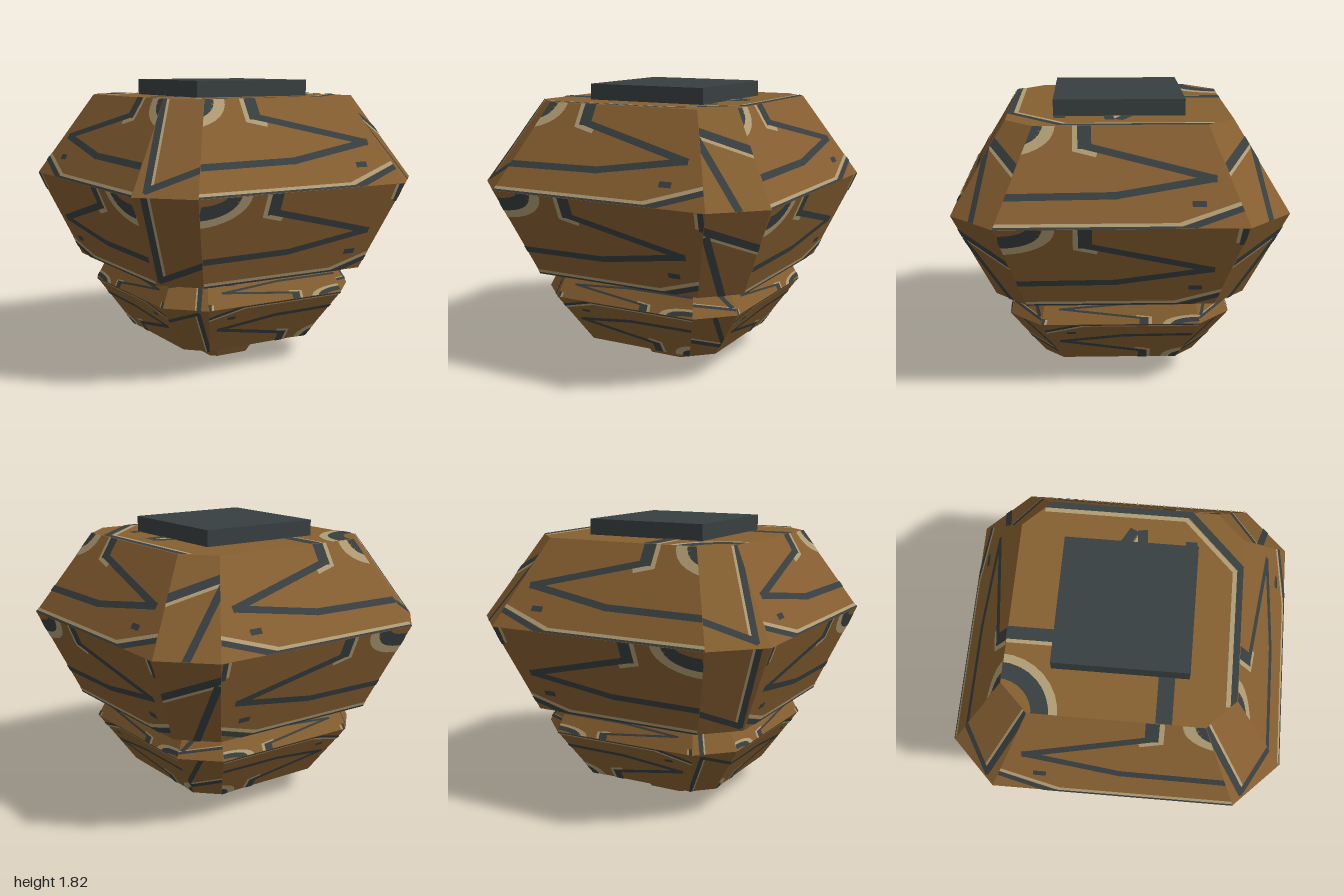
import * as THREE from 'three';

const mat = (name, color) => new THREE.MeshStandardMaterial({ name, color });
const V = (x, y, z) => new THREE.Vector3(x, y, z);

// Chamfered square ring: h = half width, f = half length of the flat side
const ring = (y, h, f) => [[f, h], [h, f], [h, -f], [f, -h], [-f, -h], [-h, -f], [-h, f], [-f, h]]
  .map(([x, z]) => V(x, y, z));

function meshFromTriangles(points, material, name) {
  const g = new THREE.BufferGeometry().setFromPoints(points);
  g.computeVertexNormals();
  const m = new THREE.Mesh(g, material);
  m.name = name;
  return m;
}

// Side walls between two rings
function walls(bottom, top) {
  const out = [];
  for (let i = 0; i < 8; i++) {
    const j = (i + 1) % 8;
    out.push(bottom[i], bottom[j], top[j], bottom[i], top[j], top[i]);
  }
  return out;
}

// Flat polygon fan, facing up or down
function fan(p, up) {
  const out = [];
  for (let i = 1; i < p.length - 1; i++) out.push(p[0], ...(up ? [p[i], p[i + 1]] : [p[i + 1], p[i]]));
  return out;
}

// Stroke along a polyline as convex quads, slightly lengthened so joints close
function stroke(pts, w, ext = w * 0.35) {
  const quads = [];
  for (let i = 0; i < pts.length - 1; i++) {
    const [ax, ay] = pts[i], [bx, by] = pts[i + 1];
    const l = Math.hypot(bx - ax, by - ay), tx = (bx - ax) / l, ty = (by - ay) / l;
    const nx = -ty * w / 2, ny = tx * w / 2, ex = tx * ext, ey = ty * ext;
    quads.push([[ax - ex + nx, ay - ey + ny], [bx + ex + nx, by + ey + ny],
      [bx + ex - nx, by + ey - ny], [ax - ex - nx, ay - ey - ny]]);
  }
  return quads;
}

function arc(cx, cy, rx, ry, w) {
  const pts = [];
  for (let i = 0; i <= 8; i++) {
    const a = i * Math.PI / 16;
    pts.push([cx + rx * Math.cos(a), cy + ry * Math.sin(a)]);
  }
  return stroke(pts, w, 0.004);
}

// Keep the part of a convex polygon where a*u + b*d + c >= 0
function clip(poly, [a, b, c]) {
  const out = [], val = p => a * p[0] + b * p[1] + c;
  poly.forEach((p, i) => {
    const q = poly[(i + 1) % poly.length], s = val(p), t = val(q);
    if (s >= 0) out.push(p);
    if (s * t < 0) out.push([p[0] + (q[0] - p[0]) * s / (s - t), p[1] + (q[1] - p[1]) * s / (s - t)]);
  });
  return out;
}

// Line patterns: u runs across the panel, d runs down it from 0 to 0.6
const sidePattern = {
  dark: [
    ...stroke([[-0.21, -0.02], [-0.21, 0.11]], 0.08),
    ...stroke([[-0.21, 0.12], [0.53, 0.315], [-0.035, 0.41], [-0.9, 0.42]], 0.042),
    ...stroke([[-1, 0.605], [0.35, 0.605], [0.74, 0.47]], 0.035),
    ...stroke([[0.7, 0], [0.69, 0.11]], 0.035),
    ...stroke([[0.4, 0.46], [0.48, 0.46]], 0.035, 0),
    ...arc(-0.7, 0, 0.2, 0.09, 0.09)],
  tan: [
    ...stroke([[-0.265, -0.02], [-0.265, 0.14], [-0.15, 0.17]], 0.03),
    ...stroke([[-1, 0.58], [0.32, 0.58], [0.74, 0.44]], 0.024),
    ...stroke([[0.67, 0], [0.66, 0.1]], 0.02),
    ...arc(-0.7, 0, 0.285, 0.15, 0.07)],
};
const leftCornerPattern = {
  dark: stroke([[0.12, -0.03], [0.11, 0.56], [-0.2, 0.42]], 0.04),
  tan: stroke([[0.095, -0.03], [0.085, 0.52]], 0.02),
};
const rightCornerPattern = {
  dark: [...stroke([[-0.2, 0.11], [0.2, 0.275]], 0.05), ...stroke([[-0.16, 0.17], [0.01, 0.62]], 0.045)],
  tan: stroke([[-0.2, 0.145], [0.2, 0.31]], 0.022),
};
const topPattern = {
  dark: [
    ...stroke([[-0.2, -0.7], [-0.2, -0.38]], 0.08),
    ...stroke([[-0.7, 0.27], [-0.38, 0.27]], 0.095),
    ...stroke([[-0.54, 0.665], [0.32, 0.665], [0.66, 0.345], [0.66, -0.54]], 0.045),
    ...stroke([[0.4, -0.06], [0.51, 0]], 0.06), ...stroke([[0.4, 0.07], [0.51, 0.06]], 0.06),
    ...stroke([[0.38, 0.36], [0.45, 0.36]], 0.07),
    ...arc(-0.7, -0.7, 0.265, 0.265, 0.1)],
  tan: [
    ...stroke([[-0.25, -0.7], [-0.25, -0.38]], 0.025),
    ...stroke([[-0.54, 0.63], [0.3, 0.63], [0.625, 0.32], [0.625, -0.54]], 0.028),
    ...stroke([[0.4, 0.01], [0.48, 0.045]], 0.035),
    ...stroke([[0.4, 0.36], [0.44, 0.36]], 0.035),
    ...arc(-0.7, -0.7, 0.34, 0.34, 0.055)],
};

// Lay a pattern on a plane; both colours are collected into the given lists
function lay(lists, pattern, planes, place, outward) {
  for (const [key, lift] of [['dark', 0.004], ['tan', 0.0025]]) {
    for (const quad of pattern[key]) {
      const poly = planes.reduce((p, plane) => (p.length ? clip(p, plane) : p), quad);
      if (poly.length < 3) continue;
      const pts = poly.map(([u, d]) => place(u, d).addScaledVector(outward, lift));
      const n = pts[1].clone().sub(pts[0]).cross(pts[2].clone().sub(pts[0]));
      lists[key].push(...fan(pts, n.dot(outward) > 0));
    }
  }
}

// Decorate all eight panels of a tier; a negative scale turns the pattern upside down
function decorateTier(lists, [yt, ht, ft], [yb, hb, fb], scale) {
  const D = 0.6, r = Math.SQRT1_2;
  for (let k = 0; k < 8; k++) {
    const a = k * Math.PI / 4, corner = k % 2 === 1;
    const dir = V(Math.sin(a), 0, Math.cos(a));
    const tangent = corner ? V(Math.sign(dir.x) * r, 0, -Math.sign(dir.z) * r)
      : k % 4 === 0 ? V(1, 0, 0) : V(0, 0, -1);
    const dist = corner ? [(ht + ft) * r, (hb + fb) * r] : [ht, hb];
    const half = corner ? [(ht - ft) * r, (hb - fb) * r] : [ft, fb];
    const s = Math.abs(scale), flip = scale < 0;
    const w0 = (flip ? half[1] : half[0]) / s, w1 = (flip ? half[0] : half[1]) / s;
    const slope = (w1 - w0) / D;
    const planes = [[0, 1, 0], [0, -1, D], [1, slope, w0], [-1, slope, w0]];
    const place = (u, d) => {
      const v = flip ? 1 - d / D : d / D;
      const p = dir.clone().multiplyScalar(dist[0] + (dist[1] - dist[0]) * v);
      p.y = yt + (yb - yt) * v;
      return p.addScaledVector(tangent, u * scale);
    };
    const outward = dir.clone().multiplyScalar(yt - yb);
    outward.y = dist[1] - dist[0];
    const pattern = !corner ? sidePattern : dir.x > 0 ? rightCornerPattern : leftCornerPattern;
    lay(lists, pattern, planes, place, outward.normalize());
  }
}

export function createModel() {
  const brown = mat('bronze brown', 0x865f31);
  const dark = mat('dark slate', 0x383f40);
  const tan = mat('pale tan', 0xb09c74);
  const model = new THREE.Group();
  model.name = 'facetedVessel';

  // Rings as [height, half width, flat half length]
  const shoulder = [1.723, 0.68, 0.51], rim = [1.2, 1, 0.73], waist = [0.645, 0.765, 0.565];
  const collar = [0.645, 0.615, 0.455], lowerRim = [0.48, 0.69, 0.49], base = [0.16, 0.48, 0.36];
  const neck = [0.16, 0.24, 0.17], foot = [0, 0.145, 0.11];
  const R = s => ring(...s);

  // Brown shells
  const tiers = [['upperBody', shoulder, rim], ['middleBody', rim, waist], ['lowerCollar', collar, lowerRim],
    ['lowerBody', lowerRim, base], ['stem', neck, foot]];
  for (const [name, t, b] of tiers) model.add(meshFromTriangles(walls(R(b), R(t)), brown, name));
  model.add(meshFromTriangles(fan(R(shoulder), true), brown, 'shoulderTop'));
  model.add(meshFromTriangles(fan(R(foot), false), brown, 'stemBottom'));

  // Dark undersides
  model.add(meshFromTriangles(fan(R(waist), false), dark, 'middleUnderside'));
  model.add(meshFromTriangles(fan(R(base), false), dark, 'lowerUnderside'));

  // Square cap
  const cap = new THREE.Mesh(new THREE.BoxGeometry(0.8, 0.1, 0.8), dark);
  cap.name = 'topCap';
  cap.position.y = 1.773;
  model.add(cap);

  // Painted lines
  const lists = { dark: [], tan: [] };
  decorateTier(lists, shoulder, rim, 1);
  decorateTier(lists, rim, waist, 1);
  decorateTier(lists, collar, lowerRim, -0.69);
  decorateTier(lists, lowerRim, base, -0.69);
  const [y, h, f] = shoulder, topPlanes = [];
  for (const a of [-1, 1]) {
    topPlanes.push([a, 0, h], [0, a, h]);
    for (const b of [-1, 1]) topPlanes.push([a, b, h + f]);
  }
  lay(lists, topPattern, topPlanes, (u, d) => V(u, y, d), V(0, 1, 0));
  model.add(meshFromTriangles(lists.dark, dark, 'darkLines'));
  model.add(meshFromTriangles(lists.tan, tan, 'tanLines'));
  return model;
}
